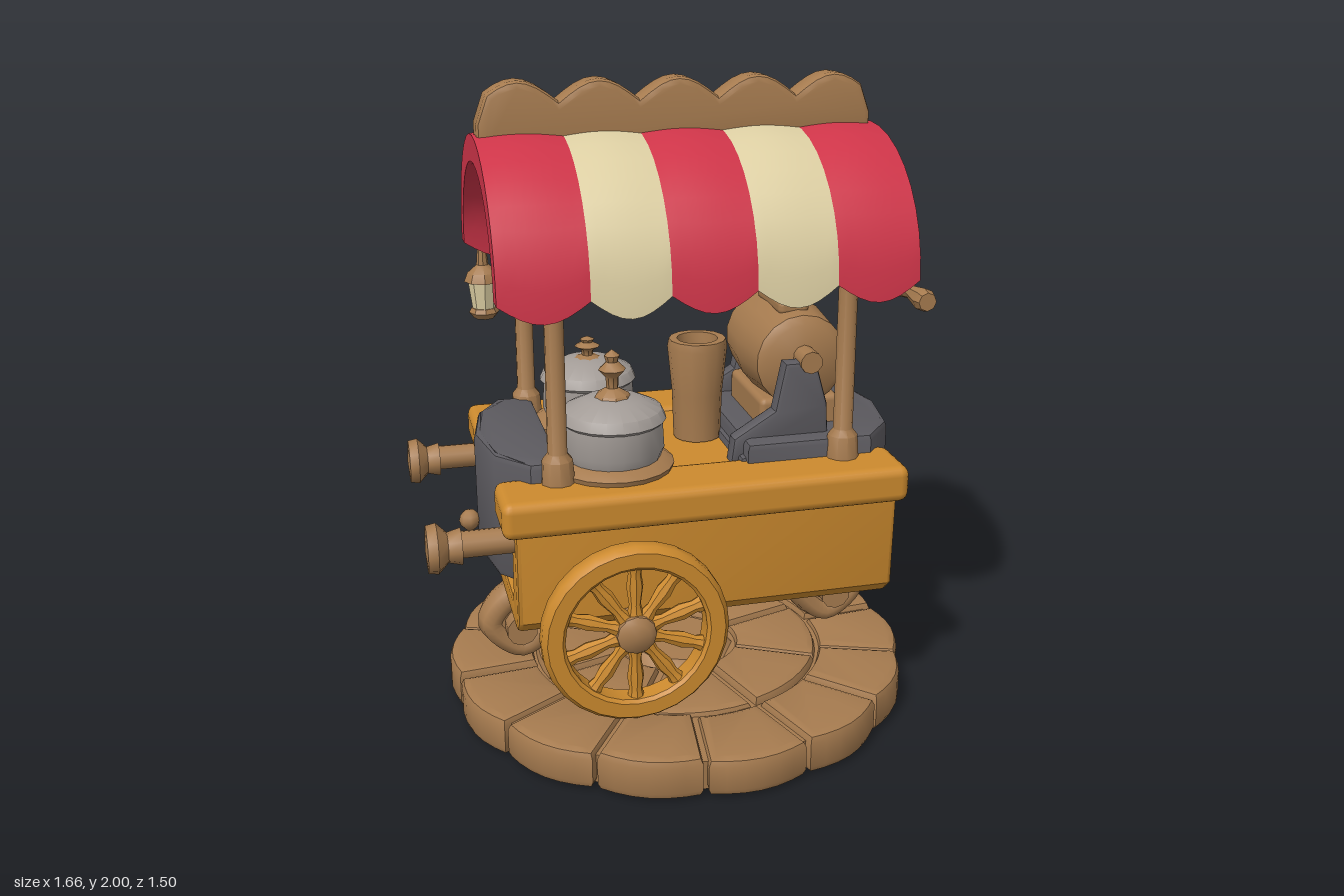
import * as THREE from 'three';
import { toCreasedNormals } from 'three/addons/utils/BufferGeometryUtils.js';
import { RoundedBoxGeometry } from 'three/addons/geometries/RoundedBoxGeometry.js';

const mat = (name, color, extra = {}) => {
  const m = new THREE.MeshStandardMaterial({ color, ...extra });
  m.name = name;
  return m;
};

export function createModel() {
  const wood = mat('brown wood', 0xa67b4f);
  const orange = mat('orange wood', 0xcc8a2e);
  const red = mat('red cloth', 0xcf3549);
  const cream = mat('cream cloth', 0xddcfa3);
  const iron = mat('dark iron', 0x5c5a5f);
  const silver = mat('silver metal', 0xa39c97);

  const root = new THREE.Group();
  root.name = 'foodCart';
  const add = (parent, name, geo, material, pos = [0, 0, 0], rot = [0, 0, 0]) => {
    const m = new THREE.Mesh(geo, material);
    m.name = name;
    m.position.set(...pos);
    m.rotation.set(...rot);
    parent.add(m);
    return m;
  };
  const group = (name, pos = [0, 0, 0]) => {
    const g = new THREE.Group();
    g.name = name;
    g.position.set(...pos);
    root.add(g);
    return g;
  };
  const vecs = pts => pts.map(p => new THREE.Vector2(...p));
  // Bevelled slab of an outline, centred on its own depth
  const slab = (pts, depth, bevel = 0.015, hole) => {
    const shape = new THREE.Shape(vecs(pts));
    if (hole) shape.holes.push(new THREE.Path(vecs(hole)));
    const g = new THREE.ExtrudeGeometry(shape, {
      depth: depth - 2 * bevel, bevelEnabled: bevel > 0, bevelSize: bevel,
      bevelThickness: bevel, bevelOffset: -bevel, bevelSegments: 2,
    });
    g.translate(0, 0, bevel - depth / 2);
    return toCreasedNormals(g, 0.7);
  };
  const lathe = (pts, n = 20) => toCreasedNormals(new THREE.LatheGeometry(vecs(pts), n), 0.7);
  const box = (w, h, d, r = 0.02) => new RoundedBoxGeometry(w, h, d, 2, r);
  const H = Math.PI / 2;

  // Paved round base: rings of wedge stones over a core disc
  const base = group('stoneBase');
  add(base, 'baseCore', new THREE.CylinderGeometry(0.71, 0.7, 0.1, 40), wood, [0, 0.06, 0]);
  const stones = (count, r0, r1, turn) => {
    for (let i = 0; i < count; i++) {
      const pts = [], a0 = turn + (i / count) * 2 * Math.PI, step = (2 * Math.PI) / count;
      const arc = (r, back, bulge) => {
        const gap = r > 0 ? 0.008 / r : 0;
        for (let k = 0; k <= 6; k++) {
          const u = back ? 1 - k / 6 : k / 6, a = a0 + gap + u * (step - 2 * gap);
          const rr = r + bulge * Math.sin(u * Math.PI);
          pts.push([rr * Math.cos(a), rr * Math.sin(a)]);
        }
      };
      arc(r1, false, r1 > 0.6 ? 0.02 : 0);
      arc(r0, true, 0);
      const h = 0.13 + 0.006 * Math.sin(i * 2.3);
      add(base, 'pavingStone', slab(pts, h, 0.025), wood, [0, 0.005 + h / 2, 0], [-H, 0, 0]);
    }
  };
  stones(14, 0.48, 0.735, 0.1);
  stones(8, 0.2, 0.47, 0.3);
  add(base, 'centreStone', lathe([[0, 0], [0.19, 0], [0.19, 0.11], [0.16, 0.135], [0, 0.138]], 9), wood);

  // Cart body: U-shaped trough, deck and rails
  const body = group('cartBody');
  const half = [[0.36, 0.42], [0.4, 0.46], [0.41, 0.78], [0.33, 0.78], [0.31, 0.54], [0.28, 0.5]];
  const trough = [...half, ...half.slice().reverse().map(([z, y]) => [-z, y])];
  add(body, 'trough', slab(trough, 1.18, 0.015), orange, [0.01, 0, 0], [0, -H, 0]);
  add(body, 'deck', box(1.0, 0.05, 0.7, 0.015), orange, [0, 0.83, 0]);
  for (const s of [1, -1]) {
    add(body, 'sideRail', box(1.24, 0.115, 0.21, 0.03), orange, [0, 0.812, s * 0.355]);
    add(body, 'pushHandle', new THREE.CylinderGeometry(0.04, 0.04, 0.22, 12), wood, [-0.67, 0.72, s * 0.355], [0, 0, H]);
    add(body, 'handleGrip', lathe([[0, -0.04], [0.055, -0.04], [0.045, 0], [0.075, 0.03], [0.07, 0.06], [0, 0.065]], 10),
      wood, [-0.77, 0.715, s * 0.355], [0, 0, H]);
  }

  // Iron fire boxes bulging out of both open ends
  for (const [s, inner, outer] of [[1, 0.15, 0.675], [-1, 0.42, 0.645]]) {
    const plan = k => [[inner, -0.31 * k], [outer - 0.13, -0.31 * k], [outer - 0.035, -0.2 * k], [outer, 0],
      [outer - 0.035, 0.2 * k], [outer - 0.13, 0.31 * k], [inner, 0.31 * k]];
    const cavity = plan(0.88).map(([x, y]) => [inner + 0.04 + (x - inner) * (outer - inner - 0.08) / (outer - inner), y]);
    const g = group('fireBox');
    g.scale.x = s;
    add(g, 'fireBoxWall', slab(plan(1), 0.4, 0.02, cavity.reverse()), iron, [0, 0.73, 0], [-H, 0, 0]);
    add(g, 'fireBoxFill', slab(plan(0.93).map(([x, y]) => [x - 0.015, y]), 0.32, 0.01), iron, [0, 0.72, 0], [-H, 0, 0]);
    add(g, 'fireBoxKnob', new THREE.SphereGeometry(0.034, 8, 6), wood, [outer + 0.025, 0.64, 0]);
  }

  // Spoked wheels and axle
  const rim = lathe([[0.215, -0.03], [0.225, -0.04], [0.27, -0.04], [0.285, -0.02], [0.285, 0.02],
    [0.27, 0.04], [0.225, 0.04], [0.215, 0.03], [0.215, -0.03]], 28);
  const spoke = lathe([[0.03, 0.04], [0.018, 0.09], [0.026, 0.15], [0.02, 0.19], [0.028, 0.225]], 8);
  for (const s of [1, -1]) {
    const w = group('wheel', [-0.24, 0.43, s * 0.46]);
    add(w, 'wheelRim', rim, orange, [0, 0, 0], [H, 0, 0]);
    add(w, 'wheelHub', lathe([[0, -0.045], [0.06, -0.045], [0.065, 0], [0.06, 0.03], [0.04, 0.045], [0, 0.048]], 12),
      wood, [0, 0, 0], [s * H, 0, 0]);
    for (let i = 0; i < 10; i++) add(w, 'spoke', spoke, orange, [0, 0, 0], [0, 0, (i * Math.PI) / 5]);
  }
  add(root, 'axle', new THREE.CylinderGeometry(0.03, 0.03, 0.9, 10), wood, [-0.24, 0.43, 0], [H, 0, 0]);

  // Scroll-shaped feet
  const scroll = new THREE.CatmullRomCurve3([[0.36, 0.43], [0.41, 0.29], [0.52, 0.19], [0.62, 0.28], [0.54, 0.37], [0.47, 0.3], [0.54, 0.26]]
    .map(([x, y]) => new THREE.Vector3(x, y, 0)));
  for (const s of [1, -1]) {
    const g = group('scrollFoot');
    g.scale.set(s, 1, 1.5);
    add(g, 'scroll', new THREE.TubeGeometry(scroll, 40, 0.043, 8), wood);
    add(g, 'scrollDisc', new THREE.CylinderGeometry(0.09, 0.09, 0.06, 16), wood, [0.53, 0.28, 0], [H, 0, 0]);
    add(g, 'scrollPin', new THREE.CylinderGeometry(0.05, 0.05, 0.14, 10), wood, [0.53, 0.28, 0], [H, 0, 0]);
    add(g, 'footBlock', box(0.14, 0.08, 0.1), wood, [0.4, 0.4, 0]);
  }

  // Corner posts
  for (const x of [-0.435, 0.45]) for (const z of [-0.31, 0.31]) {
    add(root, 'post', lathe([[0, 0], [0.052, 0], [0.046, 0.08], [0.03, 0.1], [0.028, 0.77], [0, 0.77]], 10), wood, [x, 0.86, z]);
  }

  // Striped barrel awning with scalloped hems
  const awning = group('awning');
  const xs = [-0.61, -0.35, -0.12, 0.13, 0.37, 0.62];
  const N = 18, R = 8;
  const stripe = i => {
    const pos = [], outer = [], inner = [], M = 2 * (N + 1);
    for (let j = 0; j <= R; j++) {
      const u = j / R, b = Math.sin(u * Math.PI), x = xs[i] + u * (xs[i + 1] - xs[i]);
      for (let k = 0; k < M; k++) {
        const out = k <= N, t = (Math.PI * (out ? k : M - 1 - k)) / N;
        const drop = 0.055 * b * Math.pow(1 - Math.sin(t), 2);
        const e = 0.01 * b;
        pos.push(x, 1.445 - drop + ((out ? 0.4 : 0.32) + e) * Math.sin(t), ((out ? 0.44 : 0.375) + e) * Math.cos(t));
      }
    }
    for (let j = 0; j < R; j++) for (let k = 0; k < M; k++) {
      const a = j * M + k, b = j * M + ((k + 1) % M);
      (k > N && k < M - 1 ? inner : outer).push(a, a + M, b + M, a, b + M, b);
    }
    // End faces of the whole awning
    for (let k = 0; k < N; k++) {
      const q = [k, M - 1 - k, M - 2 - k, k + 1], o = R * M;
      if (i === 4) outer.push(o + q[0], o + q[1], o + q[2], o + q[0], o + q[2], o + q[3]);
      if (i === 0) outer.push(q[0], q[2], q[1], q[0], q[3], q[2]);
    }
    const g = new THREE.BufferGeometry();
    g.setAttribute('position', new THREE.Float32BufferAttribute(pos, 3));
    g.setIndex([...outer, ...inner]);
    g.addGroup(0, outer.length, 0);
    g.addGroup(outer.length, inner.length, 1);
    return toCreasedNormals(g, 0.8);
  };
  for (let i = 0; i < 5; i++) add(awning, 'awningStripe', stripe(i), i % 2 ? [cream, wood] : [red, red]);

  // Scalloped curtains inside both awning ends
  for (const x of [-0.5, 0.5]) for (let i = -1; i <= 1; i++) {
    const c = i * 0.17, w = 0.085, top = i ? 1.7 : 1.78;
    const pts = [[c + w, top], [c - w, top]];
    for (let k = 0; k <= 8; k++) {
      const u = k / 8;
      pts.push([c - w + 2 * w * u, 1.5 - 0.06 * Math.sin(u * Math.PI)]);
    }
    add(awning, 'endCurtain', slab(pts, 0.04, 0.01), i ? wood : red, [x, 0, 0], [0, -H, 0]);
  }

  // Lumpy ridge beam
  const ridge = [[-0.6, 1.78], [0.6, 1.78]];
  for (let i = 40; i >= 0; i--) {
    const u = i / 40, end = i === 0 || i === 40 ? 0.06 : 0;
    ridge.push([-0.6 + 1.2 * u, 1.94 - end + 0.06 * Math.abs(Math.sin(u * 5 * Math.PI))]);
  }
  add(awning, 'ridgeBeam', slab(ridge, 0.105, 0.02), wood);

  // Covered pots
  const pot = (z, r, finial) => {
    const g = group('pot', [-0.25, 0.855, z]);
    add(g, 'potTray', lathe([[0, 0], [r + 0.02, 0], [r + 0.03, 0.03], [r, 0.05], [0, 0.05]]), wood);
    add(g, 'potBody', lathe([[r * 0.9, 0.04], [r, 0.08], [r * 0.97, 0.16], [r * 1.04, 0.17], [r * 0.95, 0.2], [r * 0.55, 0.23], [0, 0.245]]), silver);
    const f = add(g, 'potFinial', lathe([[0.06, 0], [0.05, 0.02], [0.018, 0.04], [0.02, 0.075], [0.042, 0.1], [0.018, 0.125], [0.024, 0.145], [0, 0.165]], 8),
      wood, [0, 0.225, 0]);
    f.scale.y = finial;
  };
  pot(0.22, 0.155, 0.95);
  pot(-0.18, 0.15, 0.5);

  // Chimney cup and roasting drum on its iron stand
  add(root, 'chimney', lathe([[0, 0], [0.075, 0], [0.08, 0.15], [0.095, 0.3], [0.09, 0.325], [0.065, 0.325], [0.06, 0.27], [0, 0.27]], 14), wood, [0.07, 0.86, 0]);
  const drum = group('roastingDrum', [0.36, 1.14, 0]);
  add(drum, 'drumBarrel', lathe([[0, -0.19], [0.12, -0.19], [0.145, -0.17], [0.16, 0], [0.145, 0.17], [0.12, 0.19], [0, 0.19]], 18), wood, [0, 0, 0], [H, 0, 0]);
  add(drum, 'drumShaft', new THREE.CylinderGeometry(0.035, 0.035, 0.53, 10), wood, [0, 0.02, 0], [H, 0, 0]);
  add(drum, 'drumHatch', box(0.1, 0.05, 0.24), wood, [-0.01, 0.155, 0]);
  const bracket = [[0.11, 0.85], [0.43, 0.85], [0.42, 1.02], [0.38, 1.16], [0.28, 1.16], [0.25, 1.01], [0.12, 0.93]];
  for (const s of [1, -1]) add(root, 'drumBracket', slab(bracket, 0.06), iron, [0, 0, s * 0.225]);
  add(root, 'drumCradle', box(0.26, 0.14, 0.34), wood, [0.36, 0.95, 0]);

  // Bow-shaped crank grip beside the drum
  add(root, 'crankGrip', lathe([[0, -0.12], [0.034, -0.12], [0.038, -0.09], [0.022, 0], [0.038, 0.1], [0.03, 0.13], [0, 0.13]], 8),
    wood, [0.785, 1.29, 0.01], [H, 0, 0]);

  // Hanging lantern
  const lantern = group('lantern', [-0.55, 1.18, -0.42]);
  add(lantern, 'lanternFoot', lathe([[0, -0.005], [0.035, 0], [0.05, 0.02], [0.042, 0.035], [0, 0.035]], 8), wood);
  add(lantern, 'lanternGlass', lathe([[0.038, 0.035], [0.05, 0.13], [0, 0.13]], 8), cream);
  add(lantern, 'lanternCap', lathe([[0, 0.125], [0.062, 0.125], [0.05, 0.155], [0.02, 0.18], [0.012, 0.26], [0, 0.26]], 8), wood);

  return root;
}
